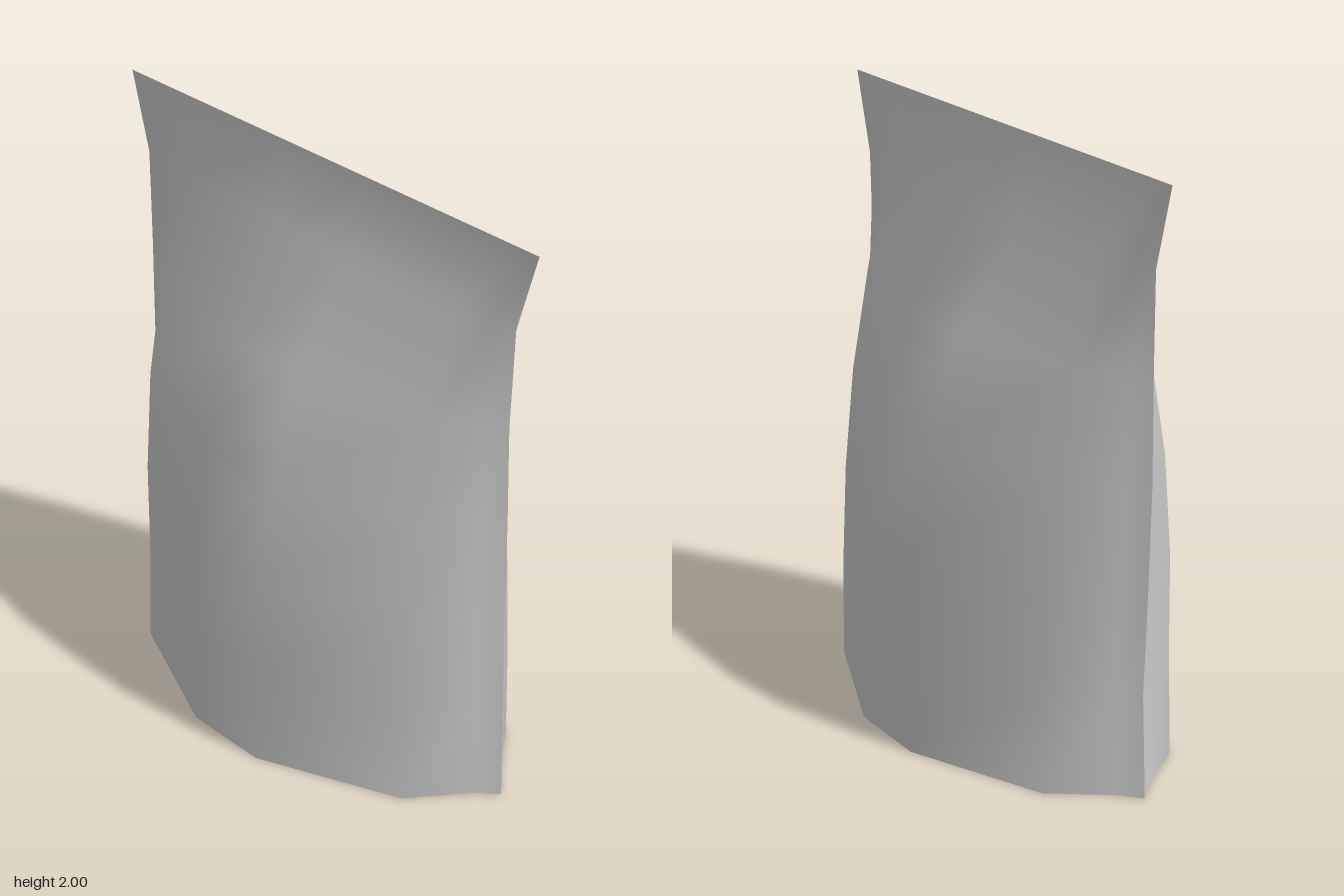
import * as THREE from 'three';

// Levels of the pouch: y, left edge x, right edge x, then depth at centre, shoulder and flank
const LEVELS = [
  [0, 0.84, -0.82, 0.45, 0.25, 0.06],
  [0.35, 0.83, -0.80, 0.445, 0.248, 0.06],
  [0.7, 0.82, -0.815, 0.425, 0.235, 0.06],
  [1.05, 0.815, -0.825, 0.36, 0.2, 0.055],
  [1.39, 0.805, -0.82, 0.25, 0.14, 0.05],
  [1.73, 0.815, -0.82, 0.04, 0.035, 0.025],
  [2, 0.89, -0.89, 0, 0, 0],
];

// One half cross-section, running from seam to seam; side is 1 for front, -1 for back
function halfRing([y, left, right, centre, shoulder, flank], side) {
  const ring = [
    [right, 0], [right * 0.92, flank], [right * 0.75, shoulder], [right * 0.18, centre],
    [left * 0.18, centre], [left * 0.75, shoulder], [left * 0.92, flank], [left, 0],
  ];
  if (side < 0) ring.reverse();
  return ring.map(([x, z]) => [x, y, z * side]);
}

// Smooth skin over a list of equal-length rows
function loft(rows) {
  const n = rows[0].length;
  const index = [];
  for (let r = 0; r < rows.length - 1; r++) {
    for (let c = 0; c < n - 1; c++) {
      const a = r * n + c, b = a + 1, d = a + n, e = d + 1;
      index.push(a, b, e, a, e, d);
    }
  }
  const geometry = new THREE.BufferGeometry();
  geometry.setAttribute('position', new THREE.Float32BufferAttribute(rows.flat(2), 3));
  geometry.setIndex(index);
  geometry.computeVertexNormals();
  return geometry;
}

export function createModel() {
  const group = new THREE.Group();
  group.name = 'pouch';
  const material = new THREE.MeshStandardMaterial({ color: 0xcccccc, side: THREE.DoubleSide });
  const add = (name, rows) => {
    const mesh = new THREE.Mesh(loft(rows), material);
    mesh.name = name;
    group.add(mesh);
  };

  for (const side of [1, -1]) {
    const label = side > 0 ? 'front' : 'back';

    // Bulging panel, creased along the side seams and pinched flat at the top
    const rows = LEVELS.map((level) => halfRing(level, side));
    add(label + 'Panel', rows);

    // Sloping lip and recessed floor underneath
    const inner = rows[0].map(([x, , z]) => [x * 0.87, 0.05, z * 0.87]);
    const middle = inner.map(([x, y]) => [x, y, 0]);
    add(label + 'BottomLip', [inner, rows[0]]);
    add(label + 'Floor', [middle, inner]);
  }
  return group;
}
